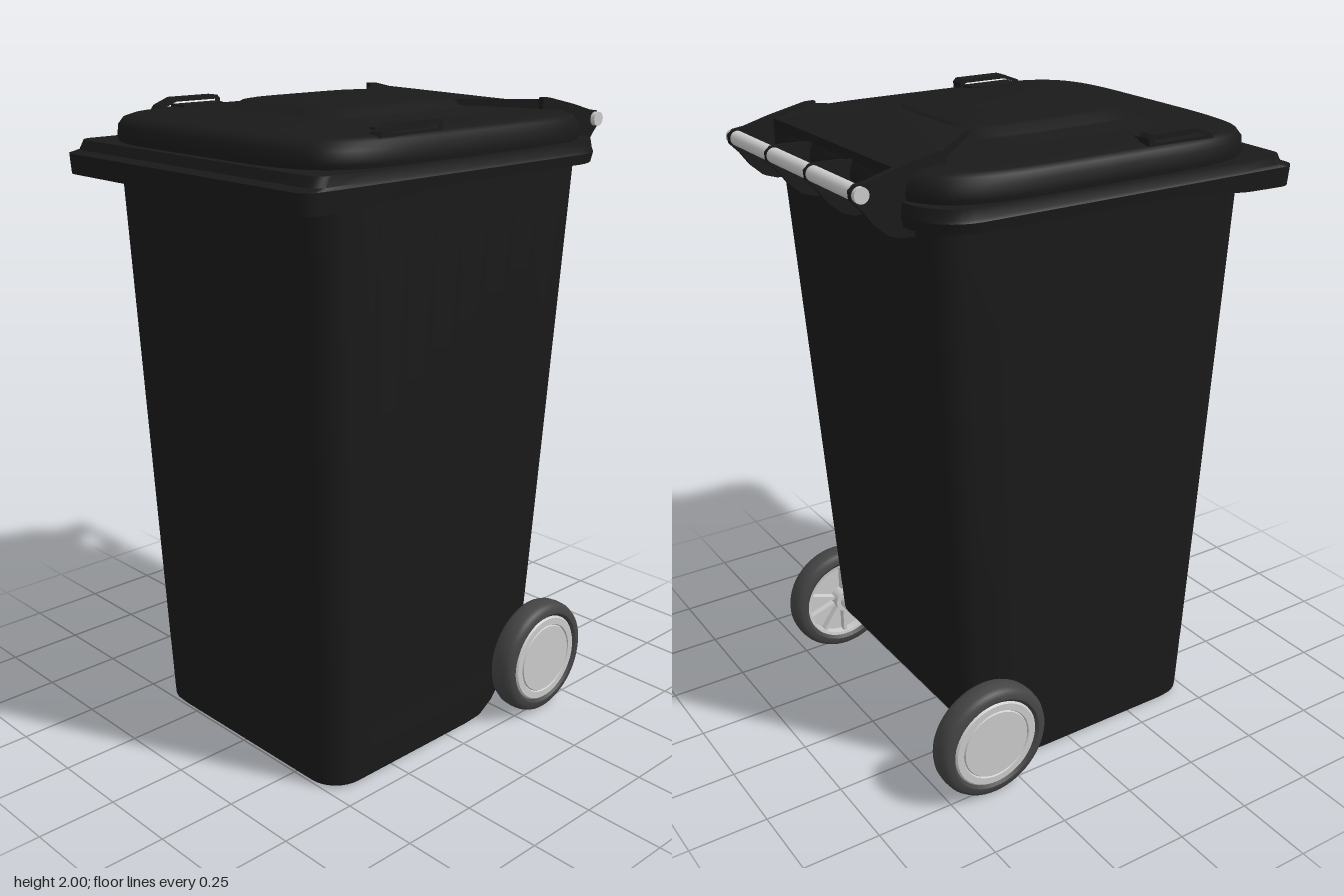
import * as THREE from 'three';
import { toCreasedNormals } from 'three/addons/utils/BufferGeometryUtils.js';

const plastic = new THREE.MeshStandardMaterial({ color: 0x1a1a1a });
const rubber = new THREE.MeshStandardMaterial({ color: 0x444444 });
const metal = new THREE.MeshStandardMaterial({ color: 0xcccccc });
const hubMetal = new THREE.MeshStandardMaterial({ color: 0xcccccc, side: THREE.DoubleSide });

function add(parent, name, geometry, material, x = 0, y = 0, z = 0) {
  const mesh = new THREE.Mesh(geometry, material);
  mesh.name = name;
  mesh.position.set(x, y, z);
  parent.add(mesh);
  return mesh;
}

// Skin between horizontal rings listed from bottom to top
function loft(rings, crease = 0.6) {
  const n = rings[0].length, index = [];
  for (let r = 0; r < rings.length - 1; r++) {
    for (let j = 0; j < n; j++) {
      const a = r * n + j, b = r * n + (j + 1) % n;
      index.push(a, a + n, b, b, a + n, b + n);
    }
  }
  const g = new THREE.BufferGeometry();
  g.setAttribute('position', new THREE.Float32BufferAttribute(rings.flat(2), 3));
  g.setIndex(index);
  return toCreasedNormals(g, crease);
}

// Rounded rectangle ring; drop lowers points towards the front
function roundRing(y, hw, zf, zb, rf, rb, drop = 0) {
  const corners = [[hw - rf, zf - rf, rf], [rf - hw, zf - rf, rf], [rb - hw, zb + rb, rb], [hw - rb, zb + rb, rb]];
  const pts = [];
  corners.forEach(([cx, cz, r], q) => {
    for (let i = 0; i <= 8; i++) {
      const a = (q + i / 8) * Math.PI / 2;
      pts.push([cx + r * Math.cos(a), cz + r * Math.sin(a)]);
    }
  });
  const out = [];
  pts.forEach((p, i) => {
    const q = pts[(i + 1) % pts.length], steps = i % 9 === 8 ? 8 : 1;
    for (let s = 0; s < steps; s++) {
      const t = s / steps, z = p[1] + (q[1] - p[1]) * t;
      out.push([p[0] + (q[0] - p[0]) * t, y - drop * THREE.MathUtils.smoothstep(z, 0.15, 0.6), z]);
    }
  });
  return out;
}

// Soft, bowed rectangle ring
function softRing(y, hw, zf, zb, power = 5) {
  const f = v => Math.sign(v) * Math.abs(v) ** (2 / power);
  return Array.from({ length: 112 }, (_, i) => {
    const a = i / 112 * Math.PI * 2;
    return [hw * f(Math.cos(a)), y, (zf + zb) / 2 + (zf - zb) / 2 * f(Math.sin(a))];
  });
}

const pointRing = (ring, y, z) => ring.map(() => [0, y, z]);

// Plate cut from a side outline of [z, y] points, centred on its thickness
function sidePlate(outline, width, hole) {
  const toPoints = list => list.map(([z, y]) => new THREE.Vector2(-z, y));
  const shape = new THREE.Shape(toPoints(outline));
  if (hole) shape.holes.push(new THREE.Path(toPoints(hole)));
  const g = new THREE.ExtrudeGeometry(shape, { depth: width, bevelEnabled: false });
  return g.translate(0, 0, -width / 2).rotateY(Math.PI / 2);
}

// Flat plate from [x, z] points, lying from y to y + height
function topPlate(outline, y, height) {
  const shape = new THREE.Shape(outline.map(([x, z]) => new THREE.Vector2(x, -z)));
  return new THREE.ExtrudeGeometry(shape, { depth: height, bevelEnabled: false }).rotateX(-Math.PI / 2).translate(0, y, 0);
}

function lathe(points) {
  const g = new THREE.LatheGeometry(points.map(p => new THREE.Vector2(...p)), 56);
  return toCreasedNormals(g, 0.6).rotateZ(-Math.PI / 2);
}

// Wheel whose outer face points to +x
function makeWheel() {
  const wheel = new THREE.Group();
  add(wheel, 'tyre', lathe([[0.143, -0.034], [0.155, -0.044], [0.17, -0.043], [0.182, -0.035], [0.188, -0.022], [0.19, 0],
    [0.188, 0.022], [0.182, 0.035], [0.17, 0.043], [0.155, 0.044], [0.143, 0.034], [0.143, -0.034]]), rubber);
  add(wheel, 'hubCap', lathe([[0.134, 0.015], [0.134, -0.034], [0.144, -0.036], [0.146, 0.036], [0.14, 0.042],
    [0.118, 0.042], [0.115, 0.037], [0.112, 0.042], [0, 0.042]]), hubMetal);
  add(wheel, 'hubBack', new THREE.CylinderGeometry(0.14, 0.14, 0.01, 48).rotateZ(Math.PI / 2), metal);
  add(wheel, 'hubCore', new THREE.CylinderGeometry(0.04, 0.04, 0.06, 24).rotateZ(Math.PI / 2), metal, -0.02);
  for (let i = 0; i < 10; i++) {
    const spoke = new THREE.BoxGeometry(0.025, 0.105, 0.012).translate(-0.016, 0.085, 0);
    add(wheel, 'spoke', spoke.rotateX(i * Math.PI / 5), metal);
  }
  return wheel;
}

export function createModel() {
  const bin = new THREE.Group();
  bin.name = 'wheeledBin';

  // Tapered body with a stepped, rounded lower back for the axle
  const bodyRings = [
    [0, 0.42, 0.49, -0.2], [0.012, 0.43, 0.5, -0.23], [0.045, 0.431, 0.502, -0.28], [0.1, 0.433, 0.504, -0.32],
    [0.16, 0.434, 0.507, -0.337], [0.205, 0.435, 0.509, -0.34], [0.222, 0.436, 0.51, -0.405], [1.84, 0.481, 0.577, -0.513],
  ].map(([y, hw, zf, zb]) => roundRing(y, hw, zf, zb, 0.1, 0.1));
  add(bin, 'body', loft([pointRing(bodyRings[0], 0, 0.15), ...bodyRings]), plastic);

  // Rim flange, deeper and overhanging at the front
  const rimRings = [
    roundRing(1.815, 0.46, 0.56, -0.49, 0.04, 0.1, 0.03),
    roundRing(1.812, 0.545, 0.688, -0.545, 0.05, 0.15, 0.03),
    roundRing(1.842, 0.55, 0.69, -0.55, 0.05, 0.15),
    roundRing(1.85, 0.545, 0.655, -0.55, 0.045, 0.15),
    roundRing(1.878, 0.542, 0.64, -0.545, 0.045, 0.15),
  ];
  add(bin, 'rim', loft([...rimRings, pointRing(rimRings[0], 1.878, 0)]), plastic);

  // Domed lid with a raised centre panel
  const lidRings = [
    [1.87, 0.532, 0.61, -0.552], [1.89, 0.537, 0.618, -0.56], [1.925, 0.535, 0.615, -0.555], [1.945, 0.525, 0.6, -0.54],
    [1.954, 0.505, 0.575, -0.52], [1.959, 0.47, 0.54, -0.49], [1.972, 0.27, 0.35, -0.26], [1.975, 0.26, 0.34, -0.25],
    [1.994, 0.235, 0.31, -0.235], [1.998, 0.215, 0.29, -0.22],
  ].map(r => softRing(...r));
  add(bin, 'lid', loft([...lidRings, pointRing(lidRings[0], 2, 0.04)], 0.7), plastic);

  // Raised wedge running from the panel back to the handle
  const wedge = topPlate([[0.2, -0.2], [0.2, -0.23], [0.38, -0.43], [0.38, -0.55],
    [-0.38, -0.55], [-0.38, -0.43], [-0.2, -0.23], [-0.2, -0.2]], 1.9, 0.09);
  const pos = wedge.attributes.position;
  for (let i = 0; i < pos.count; i++) {
    pos.setY(i, pos.getY(i) - 0.25 * Math.max(0, -pos.getZ(i) - 0.43));
  }
  wedge.computeVertexNormals();
  add(bin, 'lidWedge', wedge, plastic);

  // Handle bar with two tall arms and two short ribs
  add(bin, 'handleBar', new THREE.CylinderGeometry(0.022, 0.022, 0.8, 24).rotateZ(Math.PI / 2), metal, 0, 1.915, -0.668);
  const armTop = [[-0.41, 1.995], [-0.44, 1.994], [-0.56, 1.967], [-0.64, 1.945]];
  const ribTop = [[-0.5, 1.93], [-0.58, 1.94], [-0.64, 1.942]];
  const lower = [[-0.675, 1.94], [-0.692, 1.925], [-0.69, 1.9], [-0.66, 1.87], [-0.63, 1.83], [-0.59, 1.795], [-0.55, 1.782], [-0.5, 1.78]];
  for (const s of [-1, 1]) {
    add(bin, 'handleArm', sidePlate([...armTop, ...lower, [-0.41, 1.9]], 0.018), plastic, s * 0.376);
    add(bin, 'handleRib', sidePlate([...ribTop, ...lower], 0.012), plastic, s * 0.122);
  }

  for (const s of [-1, 1]) {
    // Lid grip loop and its pad
    add(bin, 'lidGrip', sidePlate([[0.395, 1.95], [0.385, 1.964], [0.33, 1.985], [0.17, 1.985], [0.16, 1.975], [0.16, 1.95]], 0.045,
      [[0.365, 1.96], [0.33, 1.973], [0.18, 1.973], [0.18, 1.96]]), plastic, s * 0.485);
    add(bin, 'gripPad', topPlate([[0.47, 0.17], [0.42, 0.18], [0.41, 0.21], [0.4, 0.32], [0.41, 0.34], [0.47, 0.345]]
      .map(([x, z]) => [s * x, z]), 1.955, 0.012), plastic);

    // Wheel and axle stub
    const wheel = makeWheel();
    wheel.name = s > 0 ? 'leftWheel' : 'rightWheel';
    wheel.position.set(s * 0.495, 0.19, -0.355);
    if (s < 0) wheel.rotation.y = Math.PI;
    bin.add(wheel);
    add(bin, 'axleStub', new THREE.CylinderGeometry(0.024, 0.024, 0.14, 20).rotateZ(Math.PI / 2), metal, s * 0.4, 0.19, -0.355);
  }
  return bin;
}
